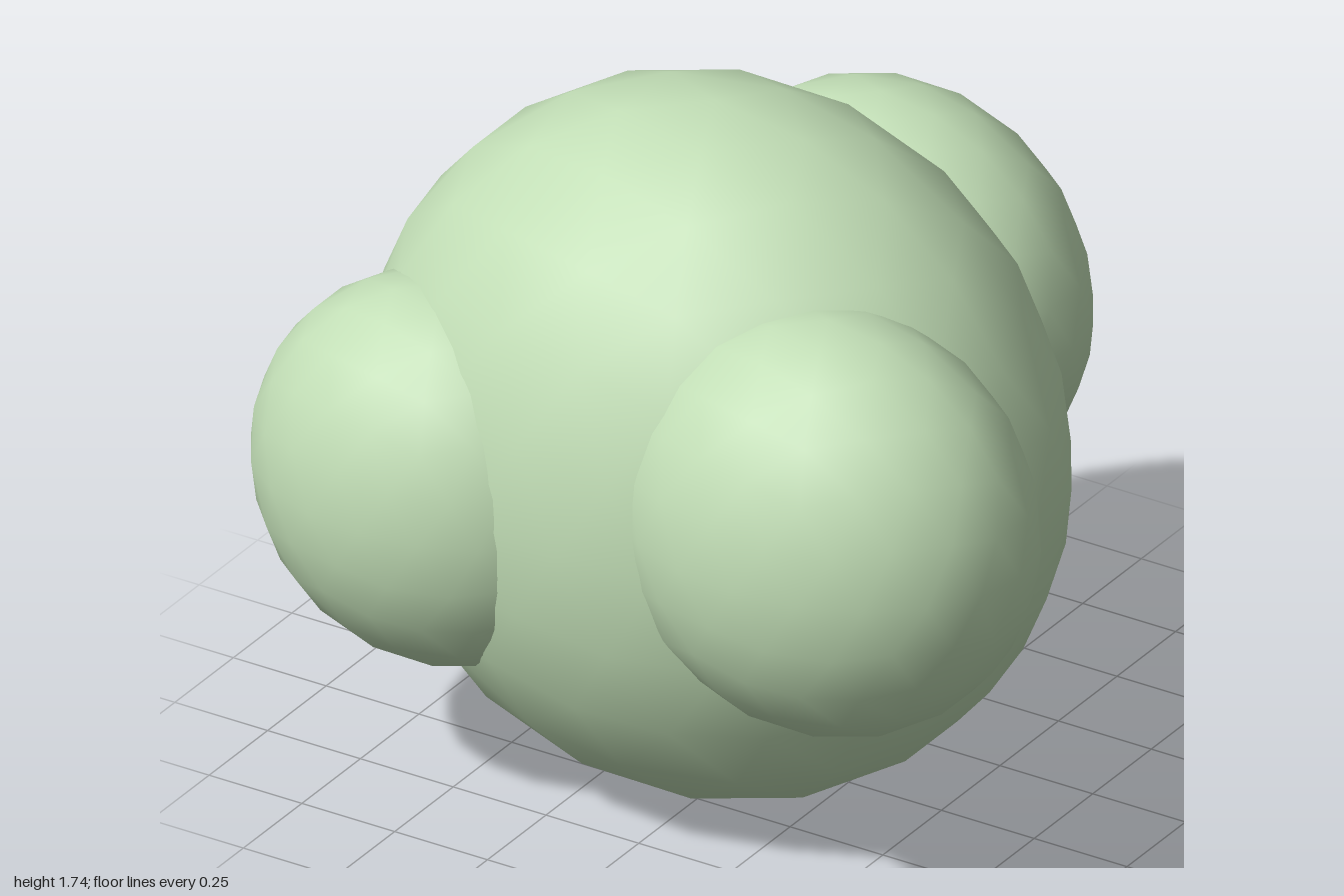
import * as THREE from 'three';

// Unit icosphere with a corner at each pole; every edge is halved `levels` times.
function icosphere(levels) {
  const ring = (y, offset) => Array.from({ length: 5 }, (_, i) => {
    const a = offset + (i * Math.PI * 2) / 5;
    const r = Math.sqrt(1 - y * y);
    return new THREE.Vector3(r * Math.cos(a), y, -r * Math.sin(a));
  });
  const top = new THREE.Vector3(0, 1, 0);
  const bottom = new THREE.Vector3(0, -1, 0);
  const up = ring(1 / Math.sqrt(5), 0);
  const low = ring(-1 / Math.sqrt(5), Math.PI / 5);

  let faces = [];
  for (let i = 0; i < 5; i++) {
    const j = (i + 1) % 5;
    faces.push([top, up[i], up[j]], [up[i], low[i], up[j]],
      [low[i], low[j], up[j]], [bottom, low[j], low[i]]);
  }
  const mid = (a, b) => a.clone().add(b).normalize();
  for (let n = 0; n < levels; n++) {
    faces = faces.flatMap(([a, b, c]) => {
      const ab = mid(a, b), bc = mid(b, c), ca = mid(c, a);
      return [[a, ab, ca], [ab, b, bc], [ca, bc, c], [ab, bc, ca]];
    });
  }
  const points = faces.flat().flatMap((v) => v.toArray());
  const geometry = new THREE.BufferGeometry();
  geometry.setAttribute('position', new THREE.Float32BufferAttribute(points, 3));
  // On a unit sphere the smooth normal equals the position
  geometry.setAttribute('normal', new THREE.Float32BufferAttribute(points, 3));
  return geometry;
}

export function createModel() {
  const group = new THREE.Group();
  group.name = 'leafyClump';

  const leafGreen = new THREE.MeshStandardMaterial({ color: 0xc2deb6 });
  leafGreen.name = 'leafGreen';

  const ball = icosphere(2);
  const depth = 0.795; // all lobes are flattened front to back

  const addLobe = (name, radius, x, y, z) => {
    const mesh = new THREE.Mesh(ball, leafGreen);
    mesh.name = name;
    mesh.position.set(x, y, z);
    mesh.scale.set(radius, radius, radius * depth);
    group.add(mesh);
  };

  // Large body with three smaller lobes around it
  addLobe('mainBody', 0.868, -0.043, 0.87, 0.105);
  addLobe('frontLeftLobe', 0.518, 0.482, 0.965, 0.455);
  addLobe('frontRightLobe', 0.476, -0.524, 0.825, 0.492);
  addLobe('backLobe', 0.517, 0.044, 1.005, -0.465);

  return group;
}
